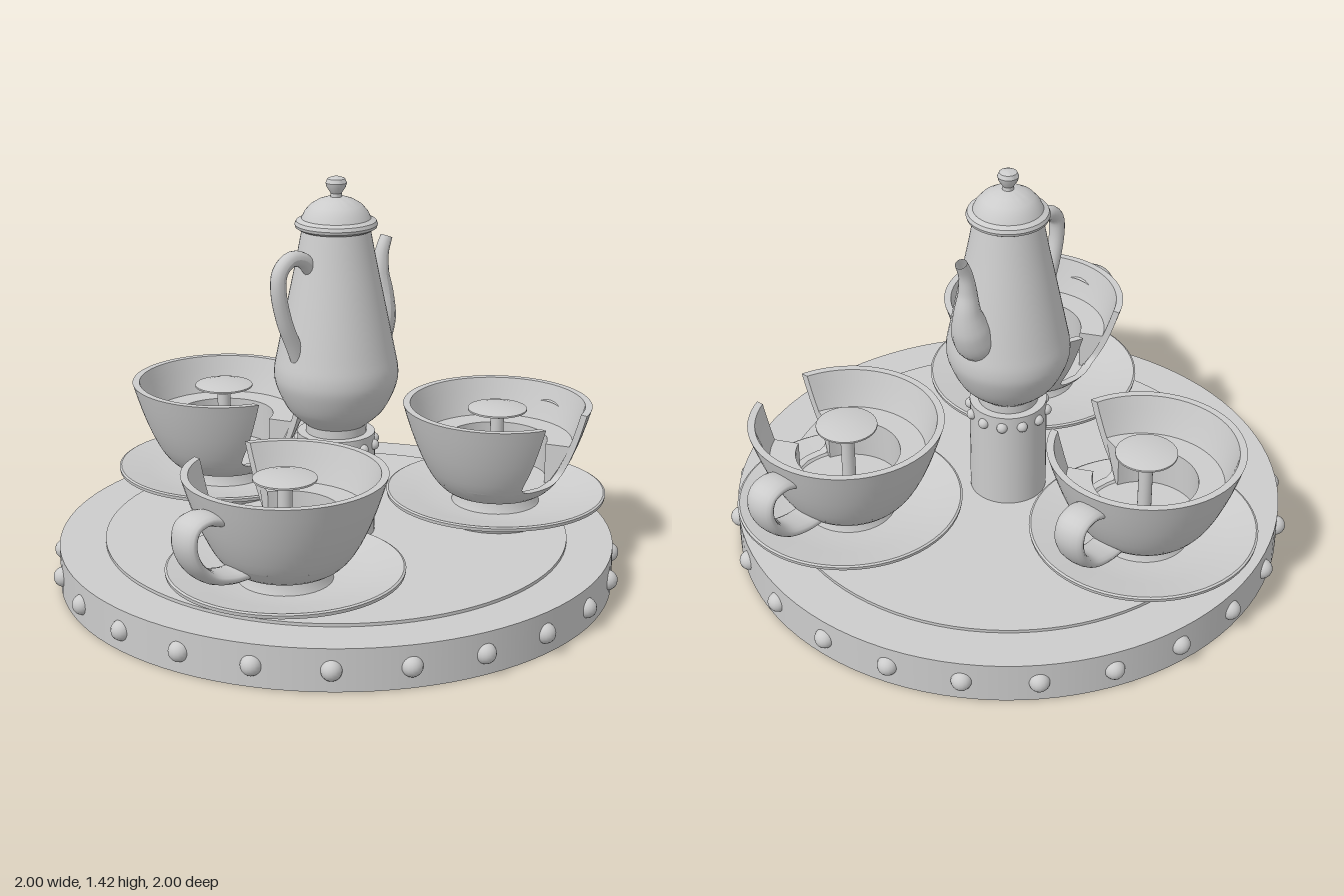
import * as THREE from 'three';
import { toCreasedNormals } from 'three/addons/utils/BufferGeometryUtils.js';

const grey = new THREE.MeshStandardMaterial({ color: 0xcccccc });
const greyDouble = new THREE.MeshStandardMaterial({ color: 0xcccccc, side: THREE.DoubleSide });
const V2 = (p) => new THREE.Vector2(p[0], p[1]);

function add(parent, name, geometry, x = 0, y = 0, z = 0, material = grey) {
  const mesh = new THREE.Mesh(geometry, material);
  mesh.name = name;
  mesh.position.set(x, y, z);
  parent.add(mesh);
  return mesh;
}

const lathe = (points, segments = 48, start = 0, length = Math.PI * 2) =>
  toCreasedNormals(new THREE.LatheGeometry(points.map(V2), segments, start, length), 0.6);

const disc = (r, y0, y1, seg = 48) => new THREE.CylinderGeometry(r, r, y1 - y0, seg).translate(0, (y0 + y1) / 2, 0);

// Tube through points in the xy plane; radius(t) tapers it, flat widens it along z
function sweep(points, radius, flat = 1) {
  const curve = new THREE.CatmullRomCurve3(points.map(([x, y]) => new THREE.Vector3(x, y, 0)));
  const steps = 32, sides = 16;
  const geo = new THREE.TubeGeometry(curve, steps, 1, sides);
  const pos = geo.attributes.position, v = new THREE.Vector3();
  for (let k = 0; k < pos.count; k++) {
    const t = Math.floor(k / (sides + 1)) / steps;
    const c = curve.getPointAt(t);
    v.fromBufferAttribute(pos, k).sub(c).multiplyScalar(radius(t));
    pos.setXYZ(k, c.x + v.x, c.y + v.y, v.z * flat);
  }
  geo.computeVertexNormals();
  return geo;
}

// Ring of small round lamps
function lampRing(parent, name, count, ringRadius, y, size) {
  const geo = new THREE.SphereGeometry(size, 16, 12);
  for (let i = 0; i < count; i++) {
    const a = (i / count) * Math.PI * 2;
    add(parent, name, geo, Math.sin(a) * ringRadius, y, Math.cos(a) * ringRadius);
  }
}

// Cup wall radius at a height
const WALL = 0.025;
const cupRadius = (y) => 0.14 + 0.195 * Math.pow(Math.max(0, (y - 0.25) / 0.325), 0.48);

// Heights up the wall with the half width of the doorway at each
const doorway = [[0.31, 0], [0.31, 0.075], [0.317, 0.094], [0.33, 0.106], [0.35, 0.11],
  [0.39, 0.11], [0.43, 0.11], [0.48, 0.11], [0.53, 0.11], [0.575, 0.11]];

function cupShell() {
  const rows = [[0.25, 0], [0.257, 0], [0.27, 0], [0.288, 0], ...doorway];
  const profile = [
    { r: 0, y: 0.25, w: 0 },
    ...rows.map(([y, w]) => ({ r: cupRadius(y), y, w })),
    ...[...doorway].reverse().map(([y, w]) => ({ r: cupRadius(y) - WALL, y, w })),
    { r: cupRadius(0.3) - WALL, y: 0.3, w: 0 },
    { r: 0, y: 0.3, w: 0 },
  ];
  const seg = 64;
  const geo = new THREE.LatheGeometry(profile.map((p) => new THREE.Vector2(p.r, p.y)), seg);
  const pos = geo.attributes.position;
  for (let k = 0; k < pos.count; k++) {
    const { r, y, w } = profile[k % profile.length];
    const gap = w ? Math.asin(w / r) : 0;
    const a = gap + (Math.floor(k / profile.length) / seg) * (Math.PI * 2 - 2 * gap);
    pos.setXYZ(k, r * Math.sin(a), y, r * Math.cos(a));
  }
  return toCreasedNormals(geo, 0.6);
}

// Sill and jamb joining the outer and inner wall on one side of the doorway
function doorJamb(side) {
  const verts = [], index = [];
  doorway.forEach(([y, w], i) => {
    for (const r of [cupRadius(y), cupRadius(y) - WALL]) verts.push(side * w, y, Math.sqrt(r * r - w * w));
    if (i) {
      const k = 2 * i;
      if (side > 0) index.push(k - 2, k, k - 1, k, k + 1, k - 1);
      else index.push(k - 2, k - 1, k, k, k - 1, k + 1);
    }
  });
  const geo = new THREE.BufferGeometry();
  geo.setAttribute('position', new THREE.Float32BufferAttribute(verts, 3));
  geo.setIndex(index);
  return toCreasedNormals(geo, 0.6);
}

function createCup() {
  const cup = new THREE.Group();
  cup.name = 'cupCar';
  add(cup, 'saucer', lathe([[0, 0.155], [0.2, 0.155], [0.21, 0.175], [0.3, 0.205], [0.39, 0.24],
    [0.392, 0.252], [0.385, 0.256], [0.29, 0.235], [0.2, 0.215], [0, 0.21]], 64));
  add(cup, 'foot', lathe([[0.165, 0.2], [0.15, 0.225], [0.145, 0.265]]));
  add(cup, 'cupBowl', cupShell(), 0, 0, 0, greyDouble);
  for (const side of [-1, 1]) add(cup, 'doorJamb', doorJamb(side), 0, 0, 0, greyDouble);

  // Ring bench, open at the doorway
  const gap = 0.42, seatTop = 0.445, inner = 0.18;
  const topR = cupRadius(seatTop) - WALL + 0.005, lowR = cupRadius(0.3) - WALL;
  add(cup, 'seat', lathe([[topR, seatTop], [inner, seatTop], [inner, 0.3]], 48, gap, Math.PI * 2 - 2 * gap));
  const end = new THREE.ShapeGeometry(new THREE.Shape(
    [[inner, 0.3], [lowR, 0.3], [cupRadius(0.36) - WALL, 0.36], [topR, seatTop], [inner, seatTop]].map(V2)));
  for (const a of [gap, -gap]) add(cup, 'seatEnd', end, 0, 0, 0, greyDouble).rotation.y = a - Math.PI / 2;

  // Turning table
  add(cup, 'tablePost', disc(0.024, 0.3, 0.55, 20));
  add(cup, 'tableTop', lathe([[0, 0.535], [0.07, 0.54], [0.105, 0.552], [0.105, 0.558], [0.07, 0.566], [0, 0.57]], 40));

  add(cup, 'cupHandle', sweep([[0.29, 0.495], [0.35, 0.514], [0.405, 0.5], [0.422, 0.45],
    [0.4, 0.38], [0.34, 0.32], [0.26, 0.295], [0.2, 0.292]], () => 0.023, 2.5));
  return cup;
}

function createTeapot() {
  const pot = new THREE.Group();
  pot.name = 'teapot';
  const side = new THREE.SplineCurve([[0.105, 0.555], [0.165, 0.61], [0.205, 0.69], [0.214, 0.75],
    [0.2, 0.83], [0.165, 1.0], [0.138, 1.13], [0.115, 1.25]].map(V2)).getPoints(36);
  add(pot, 'potBody', lathe([[0, 0.555], ...side.map((p) => [p.x, p.y]), [0, 1.25]], 48));
  add(pot, 'lid', lathe([[0, 1.242], [0.125, 1.242], [0.138, 1.25], [0.141, 1.26], [0.136, 1.272], [0.118, 1.28],
    [0.108, 1.302], [0.088, 1.325], [0.06, 1.342], [0.03, 1.352], [0, 1.354]], 48));
  add(pot, 'lidKnob', lathe([[0.02, 1.345], [0.019, 1.365], [0.032, 1.385], [0.036, 1.4],
    [0.03, 1.414], [0.016, 1.42], [0, 1.421]], 24));
  const widths = [0.06, 0.074, 0.066, 0.047, 0.033, 0.025, 0.021];
  const spoutRadius = (t) => {
    const k = Math.min(t * 6, 5.999), i = Math.floor(k);
    return THREE.MathUtils.lerp(widths[i], widths[i + 1], k - i);
  };
  add(pot, 'spout', sweep([[0.13, 0.8], [0.185, 0.87], [0.213, 0.97], [0.212, 1.06], [0.222, 1.13], [0.243, 1.178]],
    spoutRadius), 0, 0, 0, greyDouble);
  add(pot, 'potHandle', sweep([[-0.11, 1.11], [-0.155, 1.158], [-0.21, 1.17], [-0.258, 1.135],
    [-0.266, 1.07], [-0.24, 0.96], [-0.2, 0.87], [-0.17, 0.8]], () => 0.027));
  return pot;
}

export function createModel() {
  const model = new THREE.Group();
  model.name = 'teacupRide';

  // Round platform with lamps on its rim
  add(model, 'platform', disc(0.97, 0, 0.147, 96));
  add(model, 'turntable', disc(0.81, 0.14, 0.158, 96));
  lampRing(model, 'platformLamp', 24, 0.965, 0.073, 0.035);

  // Centre column carrying the teapot
  add(model, 'column', disc(0.135, 0.15, 0.525));
  add(model, 'columnNeck', disc(0.105, 0.52, 0.56));
  lampRing(model, 'columnLamp', 12, 0.135, 0.485, 0.019);
  model.add(createTeapot());

  // Three cups: x, z, turn
  for (const [x, z, turn] of [[0, -0.595, 0], [0.513, 0.293, 0], [-0.513, 0.293, Math.PI]]) {
    const cup = createCup();
    cup.position.set(x, 0, z);
    cup.rotation.y = turn;
    model.add(cup);
  }
  return model;
}
